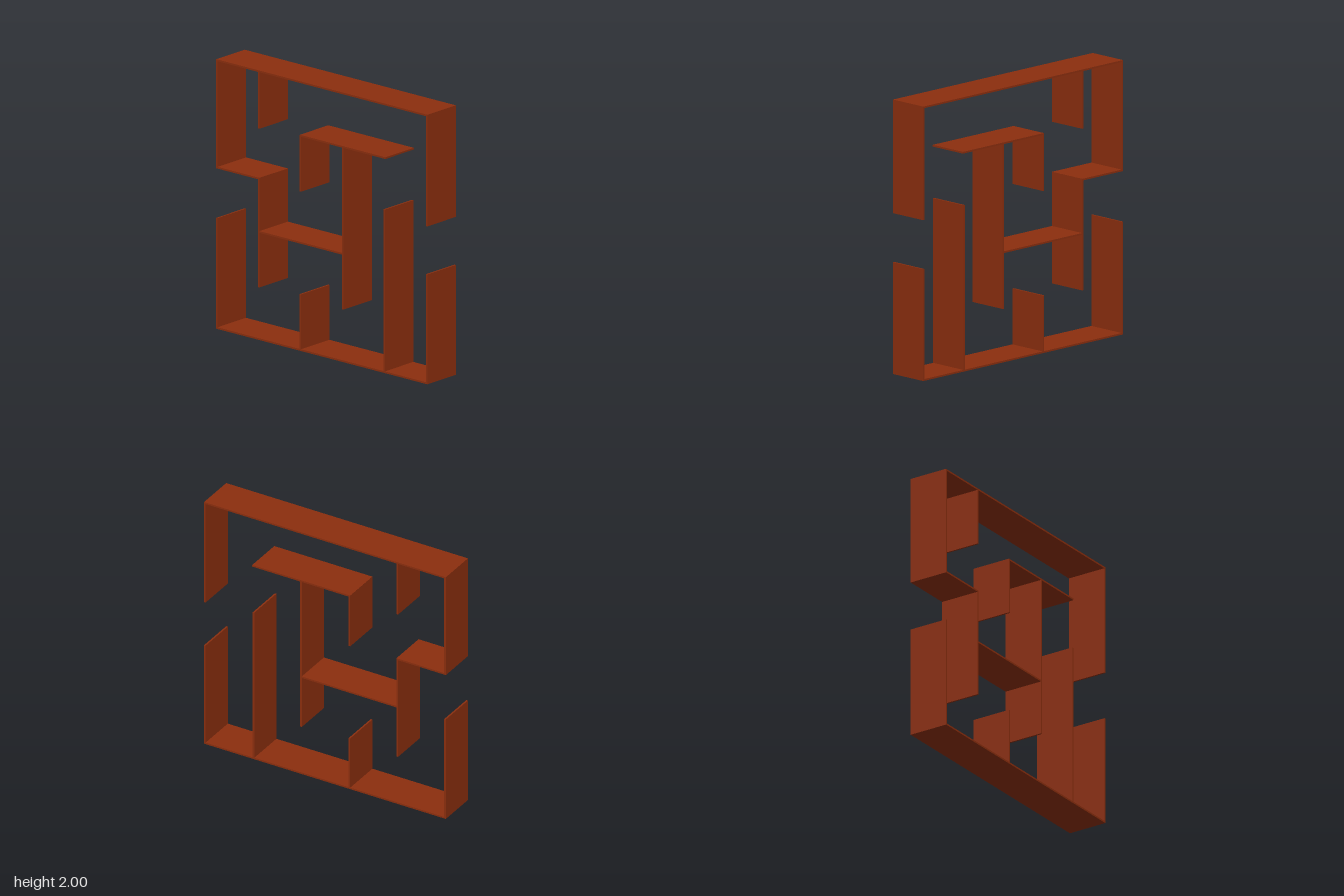
import * as THREE from 'three';

const T = 0.013; // wall thickness
const D = 0.304; // wall depth

export function createModel() {
  const group = new THREE.Group();
  group.name = 'mazeShelf';
  const material = new THREE.MeshStandardMaterial({ color: 0x8b2e0e });

  const board = (name, w, h, x, y) => {
    const mesh = new THREE.Mesh(new THREE.BoxGeometry(w, h, D), material);
    mesh.name = name;
    mesh.position.set(x, y, 0);
    group.add(mesh);
  };

  // Horizontal boards: name, y centre, x from, x to
  const shelves = [
    ['bottomBoard', T / 2, -1, 1],
    ['topBoard', 2 - T / 2, -1, 1],
    ['leftLedge', 1.197, -1, -0.592],
    ['middleShelf', 0.802, -0.598, 0.198],
    ['upperShelf', 1.596, -0.208, 0.602],
  ];
  for (const [name, y, a, b] of shelves) board(name, b - a, T, (a + b) / 2, y);

  // Vertical boards: name, x centre, y from, y to
  const edge = 1 - T / 2;
  const uprights = [
    ['outerWallLowerA', -edge, 0, 0.823],
    ['outerWallUpperA', -edge, 1.191, 2],
    ['outerWallLowerB', edge, 0, 0.815],
    ['outerWallUpperB', edge, 1.172, 2],
    ['hangingDivider', -0.598, 1.568, 2],
    ['ledgeDivider', -0.598, 0.39, 1.203],
    ['shortHangingDivider', -0.203, 1.182, 1.602],
    ['shortStandingDivider', -0.203, 0, 0.42],
    ['centreDivider', 0.198, 0.39, 1.602],
    ['tallStandingDivider', 0.591, 0, 1.213],
  ];
  for (const [name, x, a, b] of uprights) board(name, T, b - a, x, (a + b) / 2);

  return group;
}
